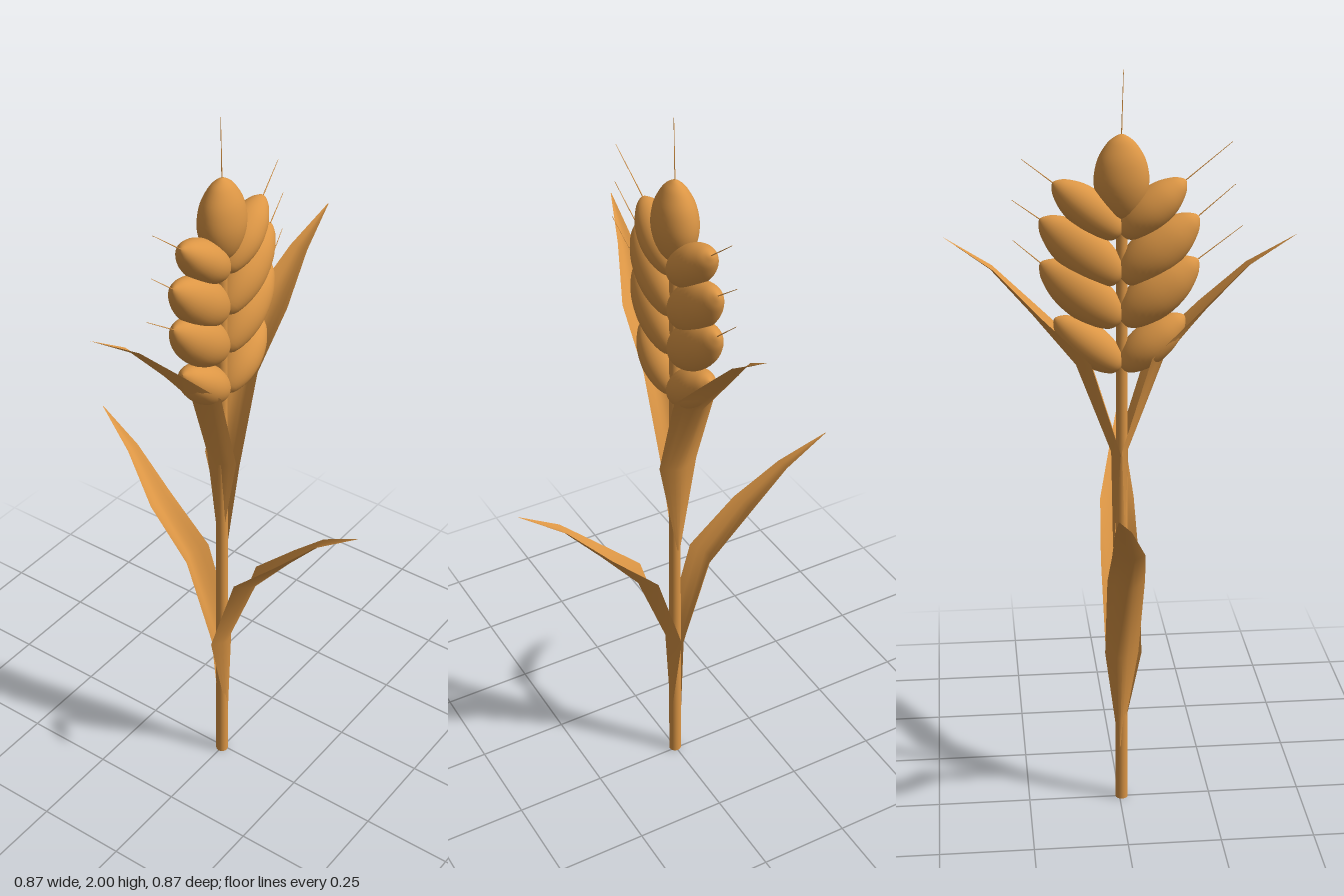
import * as THREE from 'three';

const material = new THREE.MeshStandardMaterial({ color: 0xdc9645, side: THREE.DoubleSide });
const UP = new THREE.Vector3(0, 1, 0);

// Places a part that is modelled along +y so that it runs from one point to another
function span(geometry, name, from, to) {
  const a = new THREE.Vector3(...from);
  const dir = new THREE.Vector3(...to).sub(a);
  const mesh = new THREE.Mesh(geometry, material);
  mesh.name = name;
  mesh.position.copy(a);
  mesh.quaternion.setFromUnitVectors(UP, dir.clone().normalize());
  return mesh;
}

// Plump kernel with a pointed tip
function kernelGeometry(length, halfWidth, halfDepth) {
  const profile = new THREE.SplineCurve(
    [[0, 0], [0.5, 0.06], [0.86, 0.24], [1, 0.46], [0.87, 0.7], [0.52, 0.89], [0.2, 0.975], [0, 1]]
      .map(([r, t]) => new THREE.Vector2(r, t))
  ).getPoints(28).map((p) => new THREE.Vector2(Math.max(p.x, 0), p.y));
  return new THREE.LatheGeometry(profile, 32).scale(halfWidth, length, halfDepth);
}

// Bristle
function awn(from, to) {
  const length = Math.hypot(...from.map((v, i) => to[i] - v));
  const geometry = new THREE.CylinderGeometry(0.0007, 0.0015, length, 6).translate(0, length / 2, 0);
  return span(geometry, 'awn', from, to);
}

// Arching blade with a folded midrib, growing towards +z before it is turned.
// lo and hi are the side edges at full width, tip is the sideways place of the point.
function leaf(name, angle, baseY, lo, hi, tip) {
  // height, midrib distance, edge distance, low-edge share, high-edge share
  const sections = [
    [0, 0.017, 0.015, 0.08, 0.05],
    [0.27, 0.022, 0.002, 1, 0.85],
    [0.51, 0.112, 0.078, 1, 1],
    [0.645, 0.222, 0.207, 0.98, 0.78],
    [0.76, 0.323, 0.317, 0.94, 0.1],
    [0.84, 0.435, 0.435, 1, 1],
  ];
  const across = 6;
  const positions = [];
  const indices = [];
  sections.forEach(([y, mid, edge, a, b], i) => {
    let left = lo * a;
    let right = hi * b;
    if (i === 4) {
      left = lo * 0.48 + tip * 0.52;
      right = hi * 0.38 + tip * 0.52;
    }
    if (i === 5) {
      left = tip - 0.001;
      right = tip + 0.001;
    }
    for (let j = 0; j <= across; j++) {
      const u = j / across;
      const fold = Math.abs(2 * u - 1) ** 1.5;
      positions.push(
        left + (right - left) * u,
        baseY + y + (mid - edge) * fold * 0.5,
        mid + (edge - mid) * fold
      );
      if (i && j) {
        const d = i * (across + 1) + j;
        const c = d - across - 1;
        indices.push(c - 1, c, d, c - 1, d, d - 1);
      }
    }
  });
  const geometry = new THREE.BufferGeometry();
  geometry.setAttribute('position', new THREE.Float32BufferAttribute(positions, 3));
  geometry.setIndex(indices);
  geometry.computeVertexNormals();
  const mesh = new THREE.Mesh(geometry, material);
  mesh.name = name;
  mesh.rotation.y = angle;
  return mesh;
}

export function createModel() {
  const model = new THREE.Group();
  model.name = 'cerealStalk';

  // Stalk
  const stalk = new THREE.Mesh(new THREE.CylinderGeometry(0.014, 0.017, 1.68, 20), material);
  stalk.name = 'stalk';
  stalk.position.set(-0.006, 0.84, 0);
  model.add(stalk);

  // Two crossed pairs of leaves
  model.add(
    leaf('frontLeaf', 0, 0.16, -0.06, 0.043, -0.035),
    leaf('backLeaf', Math.PI, 0.165, -0.039, 0.06, -0.042),
    leaf('leftLeaf', Math.PI / 2, 0.755, -0.05, 0.07, -0.015),
    leaf('rightLeaf', -Math.PI / 2, 0.76, -0.05, 0.05, -0.053)
  );

  // Ear: rows of paired kernels, with awns on the upper three rows
  const ear = new THREE.Group();
  ear.name = 'ear';
  // base height, tip distance, tip height, half width, right awn end, left awn end
  const rows = [
    [1.25, 0.165, 1.385, 0.052],
    [1.37, 0.198, 1.53, 0.062, [0.265, 1.59], [-0.31, 1.61]],
    [1.48, 0.198, 1.64, 0.062, [0.265, 1.69], [-0.29, 1.715]],
    [1.595, 0.165, 1.73, 0.052, [0.24, 1.79], [-0.28, 1.82]],
  ];
  for (const [baseY, tipX, tipY, width, ...awnEnds] of rows) {
    [1, -1].forEach((side, k) => {
      const from = [-0.003 - side * 0.002, baseY, 0];
      const to = [side * tipX, tipY, 0];
      const length = Math.hypot(to[0] - from[0], tipY - baseY);
      ear.add(span(kernelGeometry(length, width, 0.053), 'kernel', from, to));
      if (awnEnds[k]) ear.add(awn(to, [...awnEnds[k], -side * 0.01]));
    });
  }

  // Top kernel and its awn
  ear.add(
    span(kernelGeometry(0.212, 0.069, 0.055), 'topKernel', [-0.005, 1.634, 0], [-0.005, 1.846, 0]),
    awn([-0.005, 1.84, 0], [-0.01, 2, 0])
  );
  model.add(ear);
  return model;
}
